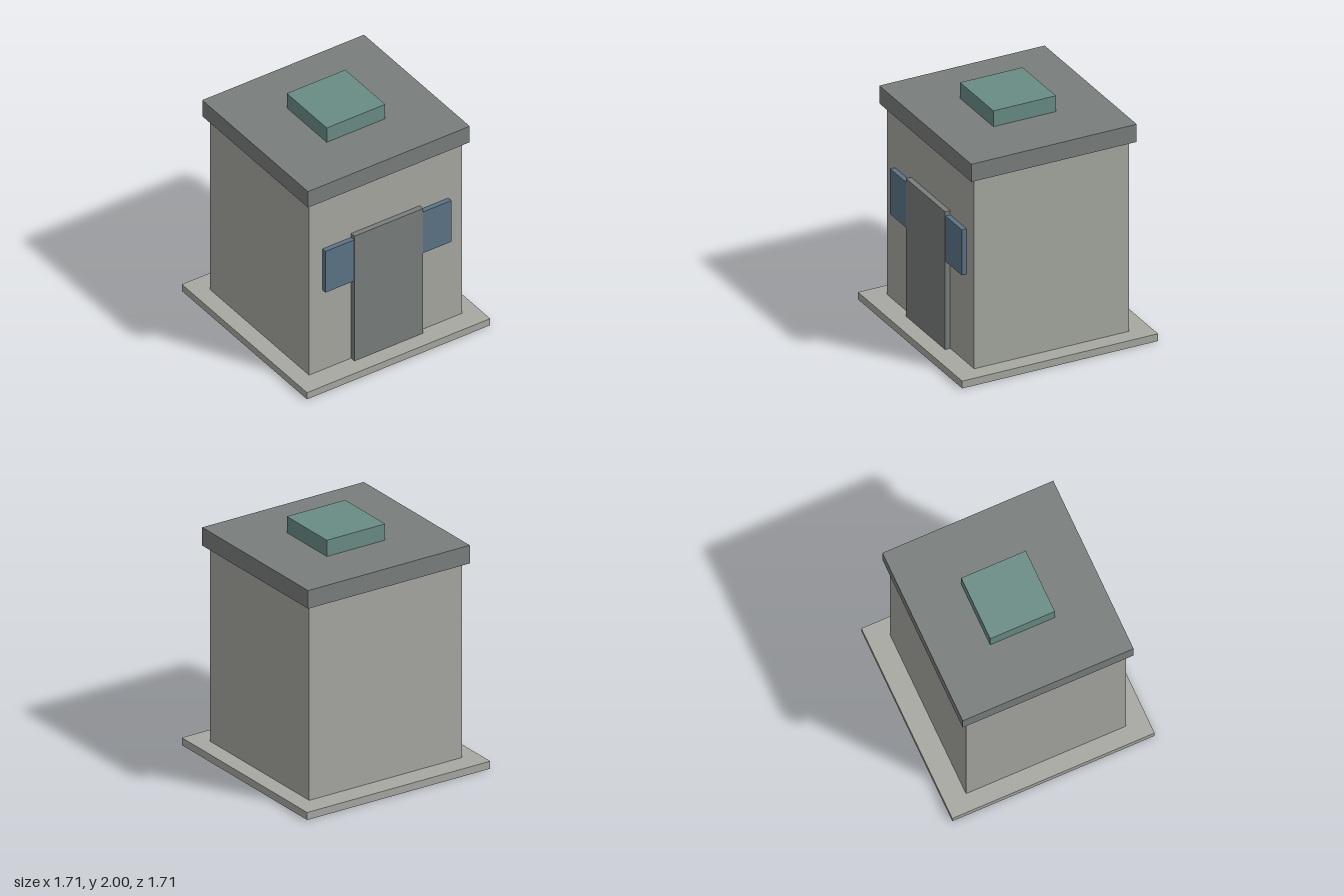
import * as THREE from 'three';

export function createModel() {
  const group = new THREE.Group();
  group.name = 'building';

  const material = (name, color) => {
    const m = new THREE.MeshStandardMaterial({ color });
    m.name = name;
    return m;
  };
  const concrete = material('pale concrete', 0xa6a8a1);
  const slate = material('dark grey', 0x797e7c);
  const glass = material('blue glass', 0x5b7486);
  const teal = material('teal', 0x698c85);

  // Box given by its extents along each axis
  const box = (name, mat, [x0, x1], [y0, y1], [z0, z1]) => {
    const mesh = new THREE.Mesh(new THREE.BoxGeometry(x1 - x0, y1 - y0, z1 - z0), mat);
    mesh.position.set((x0 + x1) / 2, (y0 + y1) / 2, (z0 + z1) / 2);
    mesh.name = name;
    group.add(mesh);
  };

  // Ground slab and main block
  box('baseSlab', concrete, [-0.855, 0.855], [0, 0.063], [-0.855, 0.855]);
  box('walls', concrete, [-0.713, 0.713], [0.063, 1.71], [-0.675, 0.675]);

  // Overhanging flat roof with a raised rooftop unit
  box('roof', slate, [-0.755, 0.755], [1.71, 1.863], [-0.722, 0.722]);
  box('rooftopUnit', teal, [-0.273, 0.273], [1.863, 2], [-0.273, 0.273]);

  // Door panel, with a window on each side
  box('door', slate, [-0.32, 0.32], [0.063, 1.255], [0.675, 0.72]);
  box('leftWindow', glass, [0.32, 0.587], [0.825, 1.218], [0.675, 0.716]);
  box('rightWindow', glass, [-0.587, -0.32], [0.825, 1.218], [0.675, 0.716]);

  return group;
}
